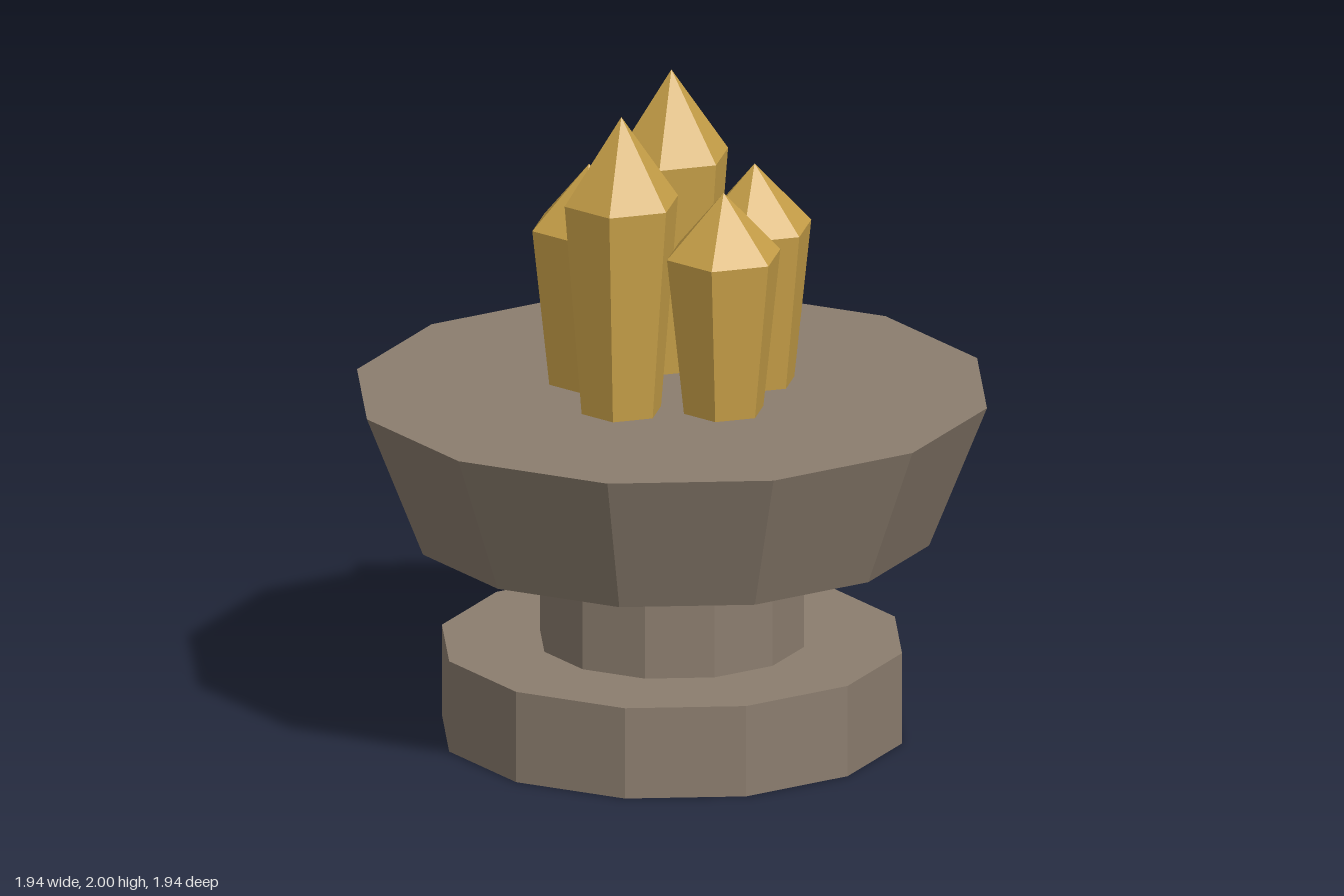
import * as THREE from 'three';

export function createModel() {
  const model = new THREE.Group();
  model.name = 'crystalPedestal';

  const stone = new THREE.MeshStandardMaterial({ name: 'stone', color: 0x8b7d6e, flatShading: true });
  const gold = new THREE.MeshStandardMaterial({ name: 'goldCrystal', color: 0xc8a048, flatShading: true });

  // Prism or frustum standing between two heights
  function drum(name, rTop, rBottom, y0, y1, sides, material, turn = 0) {
    const geometry = new THREE.CylinderGeometry(rTop, rBottom, y1 - y0, sides, 1, false, turn);
    const mesh = new THREE.Mesh(geometry, material);
    mesh.name = name;
    mesh.position.y = (y0 + y1) / 2;
    return mesh;
  }

  // Twelve-sided stone pedestal
  model.add(
    drum('base', 0.707, 0.707, 0, 0.285, 12, stone),
    drum('stem', 0.405, 0.405, 0.285, 0.63, 12, stone),
    drum('flaredTop', 0.968, 0.79, 0.63, 1.075, 12, stone)
  );

  // Ring of five crystals: a tapered hexagonal shaft with a pointed cap
  const ringRadius = 0.262;
  const tall = { shoulder: 1.735, tip: 2.0 };
  const short = { shoulder: 1.565, tip: 1.76 };
  [short, short, tall, short, tall].forEach(({ shoulder, tip }, i) => {
    const angle = (i / 5) * Math.PI * 2;
    const crystal = new THREE.Group();
    crystal.name = `crystal${i + 1}`;
    crystal.position.set(Math.cos(angle) * ringRadius, 0, Math.sin(angle) * ringRadius);

    const shaft = drum('crystalShaft', 0.18, 0.126, 1.075, shoulder, 6, gold, Math.PI / 2);
    const cap = new THREE.Mesh(
      new THREE.ConeGeometry(0.18, tip - shoulder, 6, 1, true, Math.PI / 2), gold);
    cap.name = 'crystalTip';
    cap.position.y = (shoulder + tip) / 2;

    crystal.add(shaft, cap);
    model.add(crystal);
  });

  return model;
}
